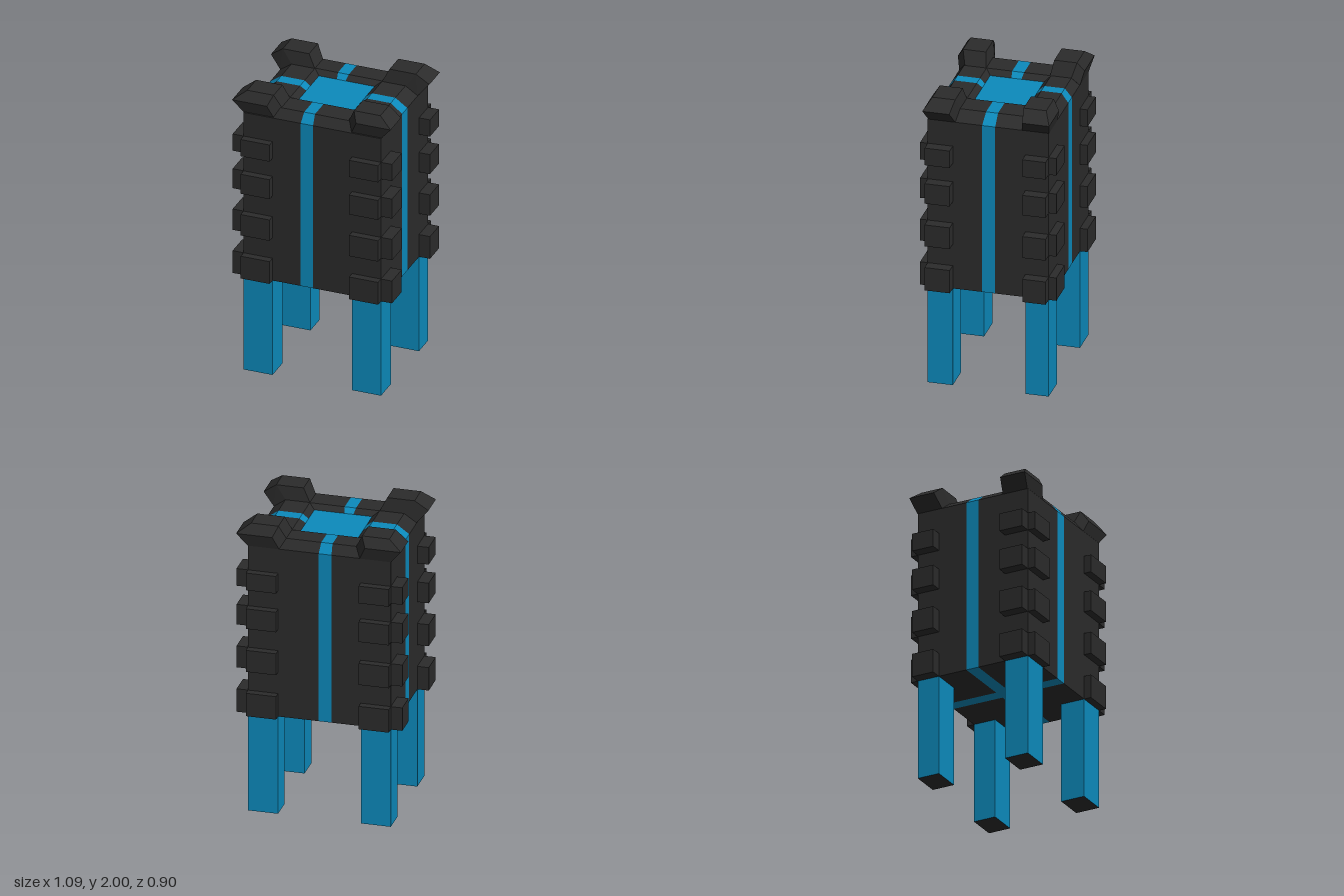
import * as THREE from 'three';
import { ConvexGeometry } from 'three/addons/geometries/ConvexGeometry.js';

const dark = new THREE.MeshStandardMaterial({ color: 0x2b2b2b, flatShading: true });
const blue = new THREE.MeshStandardMaterial({ color: 0x0c8abc, flatShading: true });

function named(geometry, material, name) {
  const mesh = new THREE.Mesh(geometry, material);
  mesh.name = name;
  return mesh;
}

// box given by its lower and upper corners
function box(lo, hi, material, name) {
  const mesh = named(new THREE.BoxGeometry(...hi.map((h, i) => h - lo[i])), material, name);
  mesh.position.set(...hi.map((h, i) => (h + lo[i]) / 2));
  return mesh;
}

// twelve points round a rectangle, each side split where the stripe runs
function ring({ y, x, z, dz = 0, sx, sz }) {
  const cx = -0.037, cz = -0.003;
  const [x0, x1, z0, z1] = [cx - sx, cx + sx, cz - sz, cz + sz];
  const [l, r, f, b] = x === 0 ? [x0, x1, z1, z0] : [-x, x, z + dz, -z + dz];
  return [
    [l, f], [x0, f], [x1, f],
    [r, f], [r, z1], [r, z0],
    [r, b], [x1, b], [x0, b],
    [l, b], [l, z0], [l, z1],
  ].map(([px, pz]) => [px, y, pz]);
}

function surface(triangles) {
  const geometry = new THREE.BufferGeometry();
  geometry.setAttribute('position', new THREE.Float32BufferAttribute(triangles.flat(), 3));
  geometry.computeVertexNormals();
  return geometry;
}

// body skin from underside centre, up the walls, over the bevel and into the recess
function makeBody() {
  const rings = [
    { y: 0.68, x: 0, z: 0, sx: 0.042, sz: 0.042 },
    { y: 0.68, x: 0.47, z: 0.398, sx: 0.042, sz: 0.043 },
    { y: 1.85, x: 0.47, z: 0.398, sx: 0.042, sz: 0.043 },
    { y: 1.91, x: 0.39, z: 0.353, sx: 0.037, sz: 0.039 },
    { y: 1.91, x: 0.23, z: 0.212, dz: -0.007, sx: 0.037, sz: 0.039 },
    { y: 1.88, x: 0.19, z: 0.177, dz: -0.007, sx: 0.03, sz: 0.033 },
  ].map(ring);
  const skin = [], stripes = [];
  for (let k = 0; k < rings.length - 1; k++) {
    const a = rings[k], b = rings[k + 1];
    for (let i = 0; i < 12; i++) {
      const j = (i + 1) % 12;
      (i % 3 === 1 ? stripes : skin).push(a[i], a[j], b[j], a[i], b[j], b[i]);
    }
  }
  const cap = ([a, b, c, d]) => surface([a, b, c, a, c, d]);
  const corners = (r) => [r[0], r[3], r[6], r[9]];
  const body = new THREE.Group();
  body.name = 'body';
  body.add(
    named(surface(skin), dark, 'shell'),
    named(surface(stripes), blue, 'stripes'),
    named(cap(corners(rings[5])), blue, 'topPanel'),
    named(cap(corners(rings[0]).reverse()), blue, 'undersideCrossing'),
  );
  return body;
}

// flared block on a top corner
function makeHorn(sx, sz) {
  const points = [
    [0.23, 1.91, 0.21], [0.39, 1.91, 0.21], [0.39, 1.91, 0.35], [0.23, 1.91, 0.35],
    [0.47, 1.85, 0.22], [0.47, 1.85, 0.397], [0.265, 1.85, 0.397],
    [0.275, 2, 0.225], [0.455, 2, 0.225], [0.455, 2, 0.375], [0.275, 2, 0.375],
    [0.542, 1.935, 0.24], [0.542, 1.935, 0.417], [0.305, 1.935, 0.417],
  ].map(([x, y, z]) => new THREE.Vector3(sx * x, y, sz * z - 0.003));
  return named(new ConvexGeometry(points), dark, 'cornerHorn');
}

export function createModel() {
  const model = new THREE.Group();
  model.add(makeBody());
  const rows = [[0.68, 0.84], [0.99, 1.14], [1.29, 1.43], [1.56, 1.68]];
  const span = (s, a, b) => (s > 0 ? [a, b] : [-b, -a]);

  for (const sx of [1, -1]) for (const sz of [1, -1]) {
    const [x0, x1] = span(sx, 0.272, 0.47);
    const [z0, z1] = span(sz, sz > 0 ? 0.233 : 0.245, 0.398);

    // leg with a dark sole
    model.add(box([x0, 0, z0], [x1, 0.68, z1], [blue, blue, blue, dark, blue, blue], 'leg'));

    // rows of studs on both walls beside each corner
    for (const [y0, y1] of rows) {
      const [fz0, fz1] = span(sz, 0.39, 0.448);
      const [wx0, wx1] = span(sx, 0.46, 0.545);
      model.add(box([x0, y0, fz0], [x1, y1, fz1], dark, 'frontBackStud'));
      model.add(box([wx0, y0, z0], [wx1, y1, z1], dark, 'sideStud'));
    }
    model.add(makeHorn(sx, sz));
  }
  return model;
}
